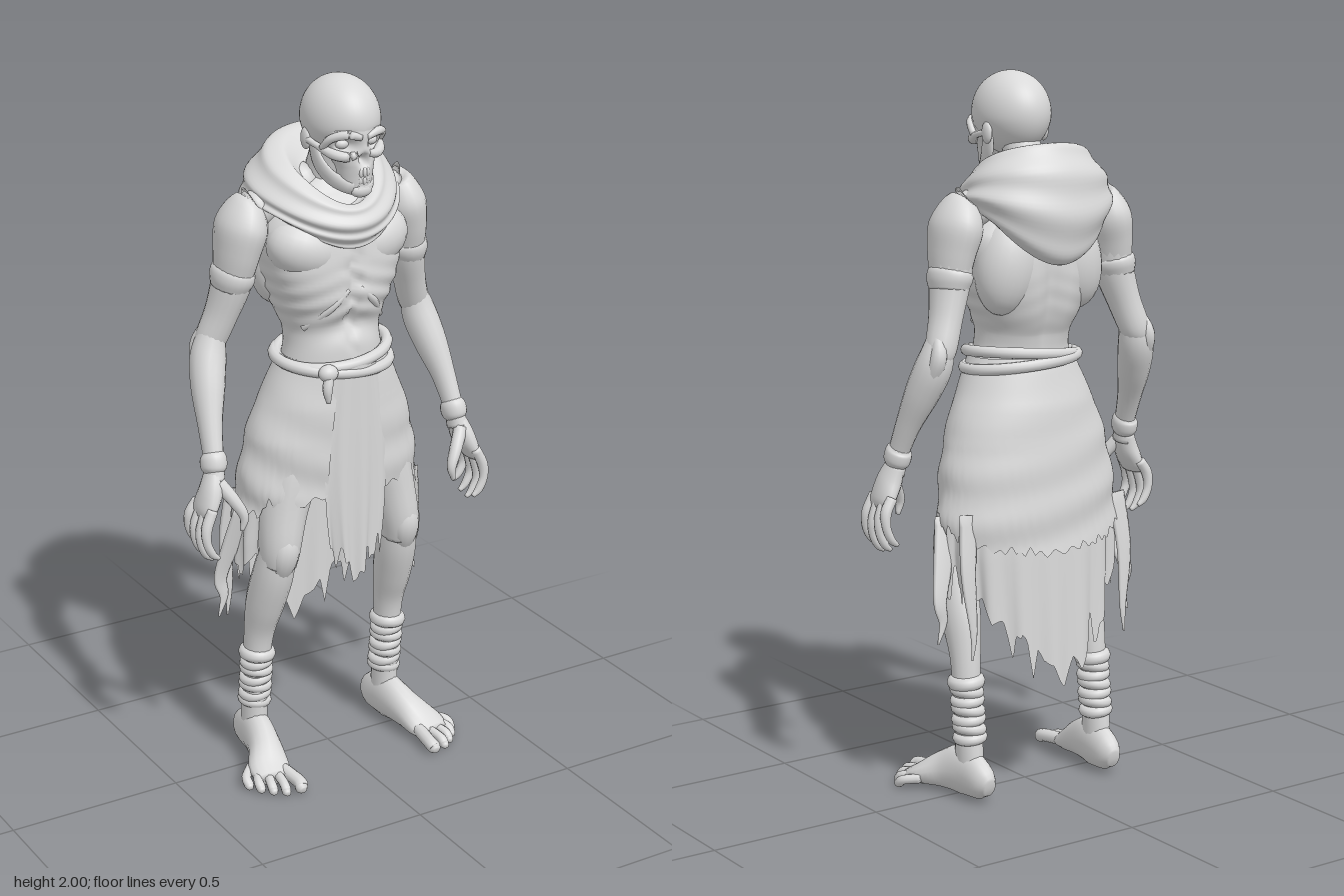
import * as THREE from 'three';

const V = (x, y, z) => new THREE.Vector3(x, y, z);
const gauss = (d, w) => Math.exp(-(d * d) / (w * w));

// Smooth surface from f(u, v); closed joins the last column to the first
function grid(nu, nv, f, closed) {
  const cols = closed ? nu : nu + 1, pos = [], idx = [];
  for (let i = 0; i <= nv; i++)
    for (let j = 0; j < cols; j++) pos.push(...f(j / nu, i / nv).toArray());
  for (let i = 0; i < nv; i++)
    for (let j = 0; j < nu; j++) {
      const a = i * cols + j, b = i * cols + (j + 1) % cols, c = a + cols, d = b + cols;
      idx.push(a, b, c, b, d, c);
    }
  const g = new THREE.BufferGeometry();
  g.setAttribute('position', new THREE.Float32BufferAttribute(pos, 3));
  g.setIndex(idx);
  g.computeVertexNormals();
  return g;
}

// Oval section swept along rows of [x, y, z, side radius, depth radius], with closed ends
function sweep(rows, radial = 16, rule) {
  const path = new THREE.CatmullRomCurve3(rows.map(r => V(r[0], r[1], r[2])), false, 'catmullrom');
  const size = new THREE.CatmullRomCurve3(rows.map(r => V(r[3], r[4] ?? r[3], 0)), false, 'catmullrom');
  const n = (rows.length - 1) * (rule ? 10 : 5);
  return grid(radial, n + 2, (a, b) => {
    const i = Math.round(b * (n + 2)), t = Math.min(Math.max((i - 1) / n, 0), 1);
    const k = i === 0 || i === n + 2 ? 0 : 1;
    const c = path.getPoint(t), s = size.getPoint(t), d = path.getTangent(t);
    const side = Math.abs(d.x) > 0.9 ? V(0, 0, 1) : V(1, 0, 0);
    side.addScaledVector(d, -side.dot(d)).normalize();
    const up = d.clone().cross(side), p = a * Math.PI * 2;
    c.addScaledVector(side, Math.cos(p) * s.x * k).addScaledVector(up, Math.sin(p) * s.y * k);
    if (rule) rule(c);
    return c;
  }, true);
}

// Piecewise-linear lookup in rows sorted by falling first value
function lookup(rows, y) {
  let i = 0;
  while (i < rows.length - 2 && y < rows[i + 1][0]) i++;
  const t = (rows[i][0] - y) / (rows[i][0] - rows[i + 1][0]);
  return rows[i].map((v, k) => v + (rows[i + 1][k] - v) * t);
}

export function createModel() {
  const root = new THREE.Group();
  const grey = new THREE.MeshStandardMaterial({ color: 0xd9d9d9, side: THREE.DoubleSide });
  grey.name = 'clay grey';
  const add = (name, geo) => {
    const m = new THREE.Mesh(geo, grey);
    m.name = name;
    root.add(m);
    return m;
  };
  const ball = (name, p, r, tilt = 0) => {
    const m = add(name, new THREE.SphereGeometry(1, 24, 16));
    m.position.set(...p); m.scale.set(...r); m.rotation.z = tilt;
    return m;
  };
  const ring = (name, p, rx, rz, tube, tilt = 0) => {
    const m = add(name, new THREE.TorusGeometry(1, tube / rx, 10, 32));
    m.position.set(...p); m.rotation.set(Math.PI / 2, tilt, 0); m.scale.set(rx, rz, rx);
  };

  // Skull: sockets, nose and hollow cheeks are pressed into both cranium and face
  const carve = p => {
    if (p.z < 0.08) return;
    for (const s of [-1, 1]) p.z -= 0.045 * gauss(Math.hypot(p.x - s * 0.043, (p.y - 1.835) * 1.15), 0.024);
    p.z -= 0.035 * gauss(Math.hypot(p.x * 1.4, p.y - 1.795), 0.016);
  };
  add('cranium', grid(48, 40, (u, v) => {
    const a = u * Math.PI * 2, b = v * Math.PI;
    const p = V(0.1 * Math.sin(b) * Math.cos(a), 1.885 + 0.115 * Math.cos(b), 0.064 + 0.127 * Math.sin(b) * Math.sin(a));
    if (p.y < 1.87) p.x *= 1 - 0.9 * (1.87 - p.y);
    carve(p);
    return p;
  }, true));
  add('face', sweep([[0, 1.87, 0.12, 0.08, 0.07], [0, 1.835, 0.125, 0.08, 0.07], [0, 1.8, 0.13, 0.062, 0.066],
    [0, 1.775, 0.136, 0.05, 0.058], [0, 1.75, 0.138, 0.046, 0.052], [0, 1.71, 0.138, 0.042, 0.048]], 48, carve));
  add('mandible', sweep([[-0.08, 1.83, 0.058, 0.009, 0.02], [-0.073, 1.775, 0.075, 0.01, 0.026], [-0.056, 1.738, 0.115, 0.01, 0.024],
    [-0.022, 1.719, 0.168, 0.014, 0.02], [0.022, 1.719, 0.168, 0.014, 0.02], [0.056, 1.738, 0.115, 0.01, 0.024],
    [0.073, 1.775, 0.075, 0.01, 0.026], [0.08, 1.83, 0.058, 0.009, 0.02]], 12));
  ball('chin', [0, 1.712, 0.172], [0.032, 0.02, 0.018]);
  for (let i = -3; i <= 3; i++) {
    const z = 0.189 - i * i * 0.0028;
    ball('upperTooth', [i * 0.0105, 1.763, z], [0.006, 0.013, 0.006]);
    ball('lowerTooth', [i * 0.0105, 1.741, z - 0.003], [0.006, 0.012, 0.006]);
  }
  add('neck', sweep([[0, 1.62, -0.04, 0.09], [0, 1.7, -0.02, 0.06], [0, 1.83, 0.03, 0.052]]));

  // Torso with squared chest, ribs, breastbone cleft and spine groove
  add('torso', sweep([[0, 1.71, -0.03, 0.06, 0.06], [0, 1.66, -0.02, 0.14, 0.09], [0, 1.58, 0, 0.2, 0.13],
    [0, 1.48, 0, 0.193, 0.145], [0, 1.38, 0.005, 0.165, 0.142], [0, 1.3, 0.015, 0.137, 0.122],
    [0, 1.22, 0.02, 0.145, 0.118], [0, 1.1, 0.01, 0.18, 0.13], [0, 0.98, 0, 0.17, 0.1]], 64, p => {
    const band = gauss(p.y - 1.4, 0.08) * (p.z > -0.04 ? 1 : 0.3);
    const square = 0.1 * gauss(p.y - 1.48, 0.12) * Math.sin(2 * Math.atan2(p.z / 0.14, p.x / 0.19)) ** 2;
    const k = 1 + square + 0.018 * band * Math.sin((p.y + Math.abs(p.x) * 0.35) * 120);
    p.x *= k;
    p.z *= k;
    if (p.z > 0) p.z -= 0.022 * gauss(p.x + 0.006 * Math.sin(p.y * 90), 0.013) * gauss(p.y - 1.44, 0.15)
      + 0.02 * gauss(p.y - (1.33 - Math.abs(p.x) * 0.3), 0.03) * gauss(p.x, 0.09);
    else p.z += 0.025 * gauss(p.x, 0.03) * gauss(p.y - 1.38, 0.2);
  }));

  for (const s of [-1, 1]) {
    const limb = (name, rows, n) => add(name, sweep(rows.map(r => [r[0] * s, ...r.slice(1)]), n));
    // Skull sides
    ball('eye', [s * 0.043, 1.836, 0.144], [0.02, 0.014, 0.016]);
    limb('brow', [[0.008, 1.857, 0.186, 0.009], [0.045, 1.866, 0.178, 0.012], [0.078, 1.854, 0.148, 0.011], [0.088, 1.825, 0.118, 0.009]], 10);
    limb('cheekbone', [[0.018, 1.812, 0.184, 0.009], [0.045, 1.806, 0.172, 0.013], [0.072, 1.812, 0.145, 0.014], [0.09, 1.826, 0.1, 0.009], [0.094, 1.835, 0.045, 0.01]], 10);
    ball('ear', [s * 0.094, 1.835, 0.045], [0.011, 0.03, 0.02]);
    // Chest, collar and back muscles
    ball('pectoral', [s * 0.098, 1.535, 0.05], [0.115, 0.085, 0.09], s * 0.3);
    ball('shoulderBlade', [s * 0.105, 1.49, -0.065], [0.09, 0.14, 0.082], s * 0.2);
    limb('trapezius', [[0.04, 1.7, -0.03, 0.05], [0.13, 1.67, -0.03, 0.055], [0.22, 1.63, -0.03, 0.05]]);
    limb('ribArch', [[0.018, 1.43, 0.139, 0.008], [0.065, 1.385, 0.13, 0.012], [0.12, 1.32, 0.072, 0.01]], 10);
    // Arm
    limb('deltoid', [[0.225, 1.668, -0.03, 0.015, 0.025], [0.233, 1.658, -0.03, 0.043, 0.06], [0.247, 1.6, -0.032, 0.066, 0.09],
      [0.262, 1.53, -0.033, 0.059, 0.08], [0.272, 1.46, -0.037, 0.05, 0.062]], 20);
    limb('upperArm', [[0.25, 1.6, -0.035, 0.045, 0.06], [0.262, 1.53, -0.035, 0.054, 0.07], [0.274, 1.45, -0.04, 0.053, 0.064],
      [0.298, 1.36, -0.056, 0.045, 0.052], [0.325, 1.28, -0.073, 0.043, 0.044], [0.335, 1.25, -0.075, 0.03, 0.035]]);
    limb('forearm', [[0.318, 1.32, -0.068, 0.034, 0.036], [0.338, 1.24, -0.062, 0.049, 0.052], [0.357, 1.16, -0.03, 0.046, 0.05],
      [0.375, 1.07, 0.012, 0.033, 0.038], [0.386, 0.98, 0.05, 0.027, 0.031], [0.392, 0.93, 0.062, 0.028, 0.036]]);
    limb('elbow', [[0.335, 1.33, -0.075, 0.012], [0.348, 1.27, -0.098, 0.022, 0.024], [0.355, 1.22, -0.085, 0.022], [0.362, 1.16, -0.05, 0.016]], 12);
    limb('armBand', [[0.266, 1.49, -0.037, 0.048, 0.06], [0.27, 1.475, -0.038, 0.058, 0.07], [0.275, 1.455, -0.04, 0.058, 0.07], [0.28, 1.43, -0.043, 0.05, 0.06]], 24);
    limb('wristCuff', [[0.384, 1.005, 0.04, 0.026, 0.03], [0.385, 0.99, 0.046, 0.035, 0.04], [0.388, 0.965, 0.052, 0.035, 0.04], [0.39, 0.95, 0.056, 0.026, 0.03]], 20);
    // Hand with four curled fingers and a thumb
    limb('palm', [[0.39, 0.955, 0.055, 0.024, 0.032], [0.405, 0.905, 0.066, 0.03, 0.045], [0.424, 0.86, 0.068, 0.024, 0.052], [0.432, 0.835, 0.068, 0.014, 0.045]]);
    for (let i = 0; i < 4; i++) {
      const z = 0.11 - i * 0.029, dy = [0, -0.015, -0.008, 0.012][i], o = (i - 1.5) * -0.003;
      limb('finger', [[0.423, 0.868, z, 0.015], [0.445, 0.82 + dy, z + o, 0.0155], [0.447, 0.78 + dy, z + o * 2, 0.0125],
        [0.432, 0.745 + dy, z + o * 2, 0.0115], [0.412, 0.727 + dy, z + o * 2, 0.006]], 10);
    }
    limb('thumb', [[0.39, 0.93, 0.082, 0.02], [0.357, 0.88, 0.108, 0.018], [0.335, 0.835, 0.122, 0.0135], [0.342, 0.795, 0.122, 0.006]], 10);
    // Leg
    limb('thigh', [[0.11, 1.04, 0, 0.09, 0.1], [0.14, 0.92, 0.025, 0.088, 0.1], [0.172, 0.8, 0.045, 0.07, 0.085],
      [0.192, 0.7, 0.065, 0.058, 0.068], [0.197, 0.64, 0.06, 0.05, 0.06]]);
    limb('kneecap', [[0.19, 0.75, 0.1, 0.02], [0.194, 0.7, 0.106, 0.036, 0.03], [0.197, 0.655, 0.1, 0.036, 0.028], [0.2, 0.6, 0.075, 0.02]], 14);
    limb('shin', [[0.195, 0.69, 0.065, 0.05, 0.055], [0.202, 0.6, 0.042, 0.056, 0.062], [0.21, 0.5, 0.008, 0.053, 0.06],
      [0.215, 0.4, -0.018, 0.043, 0.045], [0.219, 0.28, -0.03, 0.037, 0.04], [0.22, 0.16, -0.042, 0.036, 0.045], [0.22, 0.08, -0.045, 0.035, 0.05]]);
    for (let i = 0; i < 7; i++)
      ring('ankleWrap', [s * 0.218, 0.332 - i * 0.026, -0.026 - i * 0.003], 0.032, 0.033, i ? 0.0165 : 0.021, (i % 2 ? 1 : -0.6) * 0.16);
    // Foot
    limb('foot', [[0.215, 0.05, -0.138, 0.018, 0.025], [0.217, 0.06, -0.105, 0.036, 0.053], [0.222, 0.075, -0.03, 0.042, 0.072],
      [0.236, 0.062, 0.045, 0.047, 0.056], [0.26, 0.037, 0.115, 0.06, 0.033], [0.268, 0.024, 0.16, 0.05, 0.02]]);
    const tips = [[0.222, 0.244], [0.264, 0.232], [0.293, 0.21], [0.318, 0.183], [0.338, 0.15]];
    tips.forEach(([x, z], i) => {
      const r = i ? 0.0135 : 0.019;
      limb('toe', [[0.23 + i * 0.018, 0.035, 0.12 - i * 0.01, r], [x - 0.003, 0.028, z - 0.035, r], [x, r, z - 0.012, r], [x, r * 0.8, z, r * 0.5]], 10);
    });
    // Loose rags at the hip
    limb('looseRag', [[0.27, 0.8, 0.0, 0.03, 0.006], [0.295, 0.68, -0.03, 0.03, 0.006], [0.318, 0.58, -0.05, 0.022, 0.005], [0.308, 0.52, -0.05, 0.014, 0.004], [0.325, 0.46, -0.05, 0.003]], 8);
    limb('hangingRag', [[0.25, 0.82, -0.09, 0.03, 0.006], [0.265, 0.66, -0.11, 0.025, 0.006], [0.255, 0.5, -0.12, 0.012, 0.005], [0.26, 0.42, -0.12, 0.003]], 8);
  }

  // Lowered hood: rows of [half width, z front, z back, y front, y side, y back]
  const hood = [[0.05, 0.06, -0.03, 1.66, 1.69, 1.73], [0.09, 0.11, -0.075, 1.65, 1.72, 1.77], [0.12, 0.145, -0.12, 1.665, 1.758, 1.805],
    [0.165, 0.17, -0.17, 1.645, 1.745, 1.815], [0.205, 0.18, -0.215, 1.605, 1.7, 1.75], [0.22, 0.17, -0.242, 1.575, 1.67, 1.65],
    [0.205, 0.155, -0.235, 1.55, 1.645, 1.55], [0.17, 0.135, -0.2, 1.545, 1.635, 1.495], [0.13, 0.1, -0.12, 1.57, 1.63, 1.54]];
  const strips = [0, 3].map(k => new THREE.CatmullRomCurve3(hood.map(r => V(r[k], r[k + 1], r[k + 2])), false, 'catmullrom'));
  add('hood', grid(80, 56, (u, v) => {
    const a = u * Math.PI * 2, c = Math.cos(a), s = Math.sin(a), w = strips[0].getPoint(v), h = strips[1].getPoint(v);
    const fold = 1 + 0.025 * Math.sin(v * 42 + 1.1 * Math.sin(a) + c) * Math.sin(v * Math.PI);
    const y = h.y + (h.x - h.z) / 2 * c + ((h.x + h.z) / 2 - h.y) * c * c;
    const square = c < 0 ? 1 + 0.12 * Math.abs(s * c) : 1 - 0.1 * c;
    return V(w.x * s * fold * square + 0.02 * Math.max(-c, 0), y, (w.y + w.z) / 2 + (w.y - w.z) / 2 * c * fold);
  }, true));

  // Wrapped skirts: rows of [height, half width, z front, z back]
  const hips = [[1.25, 0.145, 0.145, -0.1], [1.2, 0.165, 0.158, -0.118], [1.1, 0.212, 0.165, -0.145], [1, 0.25, 0.165, -0.16],
    [0.85, 0.278, 0.16, -0.174], [0.7, 0.288, 0.15, -0.18], [0.35, 0.27, 0.12, -0.19]];
  const rag = (a, n) => Math.abs((a * n + 0.35 * Math.sin(a * 7)) % 1 - 0.5) * 2;
  const skirt = (name, gap, scale, hem, foldSize) => add(name, grid(220, 36, (u, v) => {
    const a = gap + u * (Math.PI * 2 - gap * 2), y = 1.23 + (hem(a) - 1.23) * v, c = Math.cos(a);
    const [, rx, zf, zb] = lookup(hips, y);
    const k = scale * (1 + foldSize(a, v, y));
    return V(rx * Math.sin(a) * k, y, (zf + zb) / 2 + (zf - zb) / 2 * c * k);
  }));
  skirt('overskirt', 0.33, 1, a => 0.9 - 0.09 * (1 - Math.cos(a)) - 0.06 * rag(a, 2.6) * (0.6 + 0.4 * Math.cos(a)) - 0.02 * rag(a, 7.3),
    (a, v, y) => 0.022 * Math.sin(y * 46 + 3 * Math.sin(a - 0.6) + 5 * Math.max(0, Math.cos(a))) * v);
  skirt('underskirt', 1.2, 0.95, a => 0.7 - 0.22 * Math.max(0, -Math.cos(a)) ** 2 - 0.1 * gauss(a - Math.PI, 0.25)
    - 0.1 * rag(a, 2.1) - 0.05 * rag(a, 5.7), (a, v) => 0.035 * Math.sin(a * 17) * v * v);
  add('frontPanel', grid(48, 30, (u, v) => {
    const x = u * 2 - 1, hem = 0.6 + 0.07 * Math.abs(x) + 0.06 * rag(u, 3.3) - 0.04 * rag(u, 7);
    const y = 1.22 + (hem - 1.22) * v;
    return V(x * (0.062 + 0.034 * Math.sin(v * 2.6)), y, 0.168 - 0.018 * x * x + 0.006 * Math.sin(x * 9) * v);
  }));

  // Cloth belt with knot and tail
  for (const [y, k, tilt] of [[1.232, 1, 0.05], [1.208, 1.04, -0.04]]) {
    const pts = Array.from({ length: 24 }, (_, i) => {
      const a = i / 24 * Math.PI * 2;
      return V(0.158 * k * Math.sin(a), y + tilt * Math.sin(a) * 0.3 - 0.01 * Math.cos(a), 0.02 + 0.133 * k * Math.cos(a));
    });
    add('belt', new THREE.TubeGeometry(new THREE.CatmullRomCurve3(pts, true), 96, 0.016, 10, true));
  }
  ball('beltKnot', [-0.09, 1.21, 0.155], [0.028, 0.024, 0.024]);
  add('beltTail', sweep([[-0.09, 1.21, 0.162, 0.013], [-0.1, 1.17, 0.168, 0.014], [-0.097, 1.13, 0.168, 0.006]], 10));
  return root;
}
